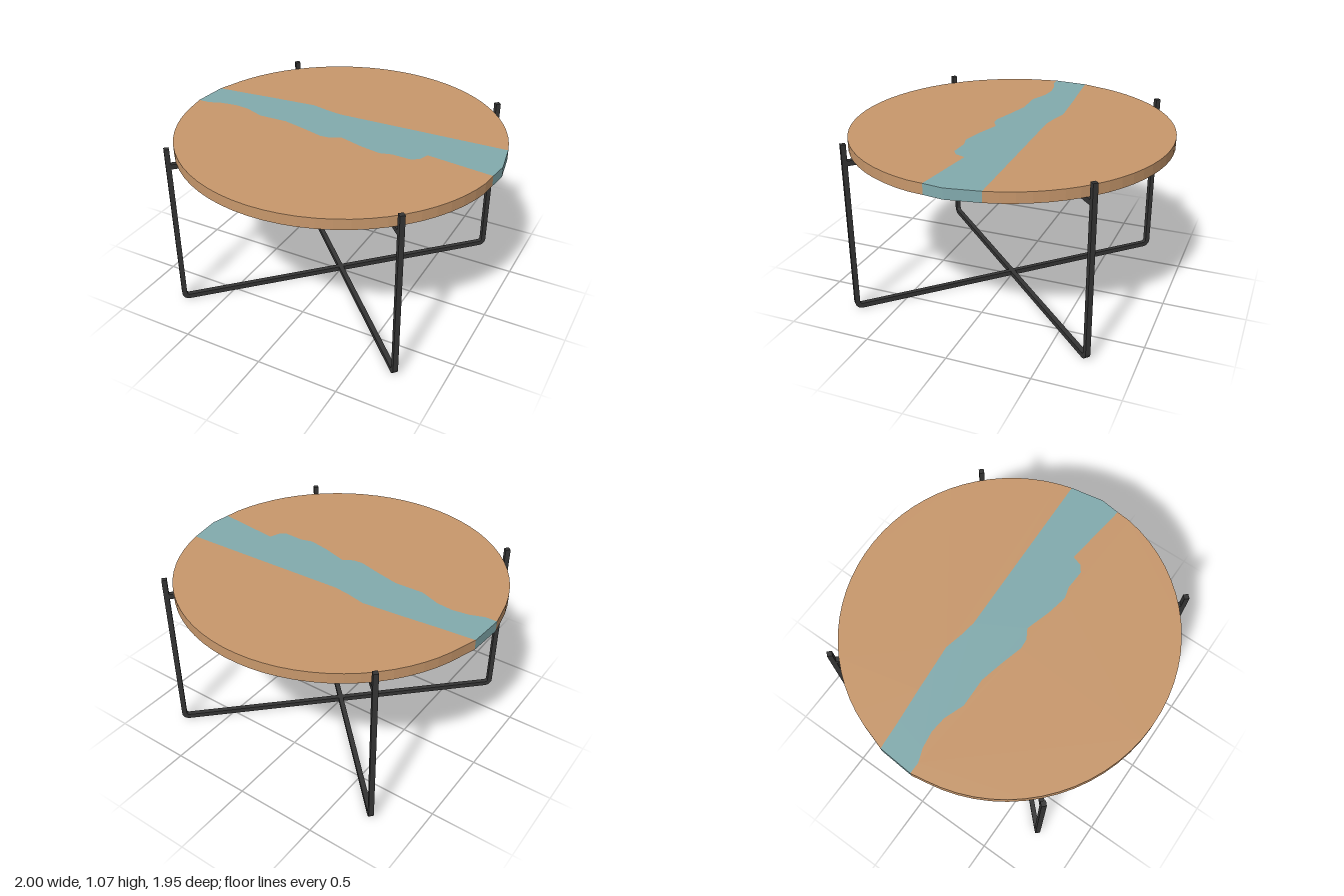
import * as THREE from 'three';

const mat = (name, color, extra) => Object.assign(new THREE.MeshStandardMaterial({ color }), { name }, extra);

// River banks across the top, as [x, z] from left edge to right edge
const backBank = [[-0.985, -0.165], [-0.8, -0.18], [-0.6, -0.2], [-0.42, -0.215], [-0.31, -0.225],
  [-0.2, -0.2], [-0.1, -0.185], [0.2, -0.195], [0.5, -0.205], [0.965, -0.22]];
const frontBank = [[-1, 0.05], [-0.93, 0.05], [-0.85, 0.02], [-0.75, 0.005], [-0.65, 0.015], [-0.53, 0.06],
  [-0.35, 0.055], [-0.2, 0.09], [-0.07, 0.125], [-0.01, 0.12], [0.05, 0.085], [0.2, 0.13], [0.33, 0.155],
  [0.4, 0.135], [0.52, 0.14], [0.56, 0.11], [0.58, 0.05], [0.7, 0.065], [0.985, 0.1]];

const TABLE_BOTTOM = 0.968, TABLE_TOP = 1.032;

// Flat slab from an [x, z] outline
function slab(name, outline, material) {
  const shape = new THREE.Shape(outline.map(([x, z]) => new THREE.Vector2(x, -z)));
  const geo = new THREE.ExtrudeGeometry(shape, { depth: TABLE_TOP - TABLE_BOTTOM, bevelEnabled: false });
  geo.rotateX(-Math.PI / 2).translate(0, TABLE_BOTTOM, 0);
  const mesh = new THREE.Mesh(geo, material);
  mesh.name = name;
  return mesh;
}

// Rim points strictly between two bank ends, right to left
function rim(right, left, rx, rz, steps = 32) {
  const a = Math.atan2(Math.abs(right[1]) / rz, right[0] / rx);
  const b = Math.atan2(Math.abs(left[1]) / rz, left[0] / rx);
  const side = Math.sign(right[1]);
  return Array.from({ length: steps - 1 }, (_, i) => {
    const t = a + (b - a) * (i + 1) / steps;
    return [rx * Math.cos(t), side * rz * Math.sin(t)];
  });
}

// Square-bar U frame with rounded lower corners and a crossbar below the top
function legFrame(name, material) {
  const R = 1.043, w = 0.03, top = 1.065, ro = 0.045, ri = 0.015;
  const s = new THREE.Shape();
  s.moveTo(-R, top);
  s.lineTo(-R, ro);
  s.absarc(-R + ro, ro, ro, Math.PI, Math.PI * 1.5, false);
  s.lineTo(R - ro, 0);
  s.absarc(R - ro, ro, ro, -Math.PI / 2, 0, false);
  s.lineTo(R, top);
  s.lineTo(R - w, top);
  s.lineTo(R - w, w + ri);
  s.absarc(R - w - ri, w + ri, ri, 0, -Math.PI / 2, true);
  s.lineTo(-R + w + ri, w);
  s.absarc(-R + w + ri, w + ri, ri, -Math.PI / 2, -Math.PI, true);
  s.lineTo(-R + w, top);
  s.closePath();
  const geo = new THREE.ExtrudeGeometry(s, { depth: w, bevelEnabled: false, curveSegments: 6 });
  geo.translate(0, 0, -w / 2);
  const legs = new THREE.Mesh(geo, material);
  legs.name = 'legs';
  const bar = new THREE.Mesh(new THREE.BoxGeometry(2 * (R - w), w, w), material);
  bar.name = 'crossbar';
  bar.position.y = 0.951;
  const g = new THREE.Group();
  g.name = name;
  g.add(legs, bar);
  return g;
}

export function createModel() {
  const wood = mat('wood', 0xc8986c);
  const resin = mat('resin', 0x82abae);
  const metal = mat('blackMetal', 0x353535);
  const model = new THREE.Group();
  model.name = 'riverTable';

  // Table top: two wooden halves with a resin river between them
  const last = (a) => a[a.length - 1];
  model.add(
    slab('backWood', [...backBank, ...rim(last(backBank), backBank[0], 0.99, 0.979)], wood),
    slab('frontWood', [...frontBank, ...rim(last(frontBank), frontBank[0], 0.995, 0.972)], wood),
    slab('resinRiver', [...backBank, [1, -0.02], ...[...frontBank].reverse()], resin),
  );

  // Two crossed leg frames on the diagonals
  [1, -1].forEach((d) => {
    const frame = legFrame(d > 0 ? 'legFrameA' : 'legFrameB', metal);
    frame.rotation.y = d * Math.PI / 4;
    model.add(frame);
  });
  return model;
}
